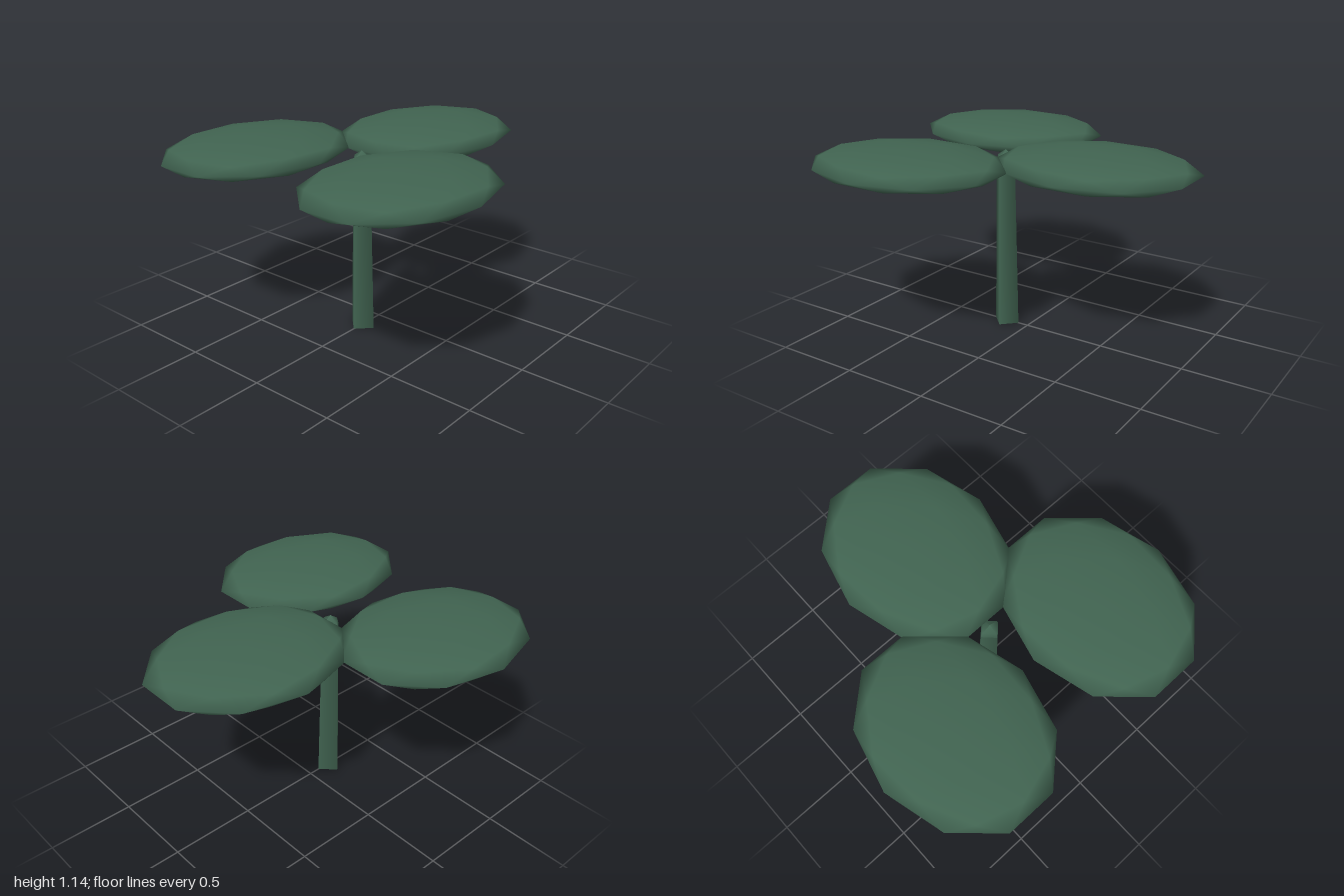
import * as THREE from 'three';
import { mergeVertices } from 'three/addons/utils/BufferGeometryUtils.js';

// Flattened low-poly ball with a vertex at its top pole, smooth shaded
function leafGeometry() {
  const ball = new THREE.IcosahedronGeometry(1, 1);
  ball.rotateX(-Math.atan2((1 + Math.sqrt(5)) / 2, 1));
  ball.rotateY(Math.PI / 2);
  ball.scale(0.587, 0.0865, 0.468);
  ball.deleteAttribute('uv');
  ball.deleteAttribute('normal');
  const geometry = mergeVertices(ball, 1e-4);
  geometry.computeVertexNormals();
  return geometry;
}

export function createModel() {
  const group = new THREE.Group();
  group.name = 'threeLeafSprout';
  const green = new THREE.MeshStandardMaterial({ color: 0x416451 });
  green.name = 'leaf green';

  const add = (name, geometry, x, y, z) => {
    const mesh = new THREE.Mesh(geometry, green);
    mesh.name = name;
    mesh.position.set(x, y, z);
    group.add(mesh);
  };

  // Three overlapping leaves, all turned the same way
  const leaf = leafGeometry();
  add('leftLeaf', leaf, 0.441, 1.054, 0);
  add('frontRightLeaf', leaf, -0.441, 1.054, 0.508);
  add('backRightLeaf', leaf, -0.441, 1.054, -0.508);

  // Tapered four-sided stem
  add('stem', new THREE.CylinderGeometry(0.063, 0.083, 1, 4), -0.148, 0.5, 0);

  // Rounded point closing the top of the stem
  const tip = [[0.063, 0], [0.052, 0.035], [0, 0.07]].map(([r, y]) => new THREE.Vector2(r, y));
  add('stemTip', new THREE.LatheGeometry(tip, 4), -0.148, 1, 0);

  return group;
}
